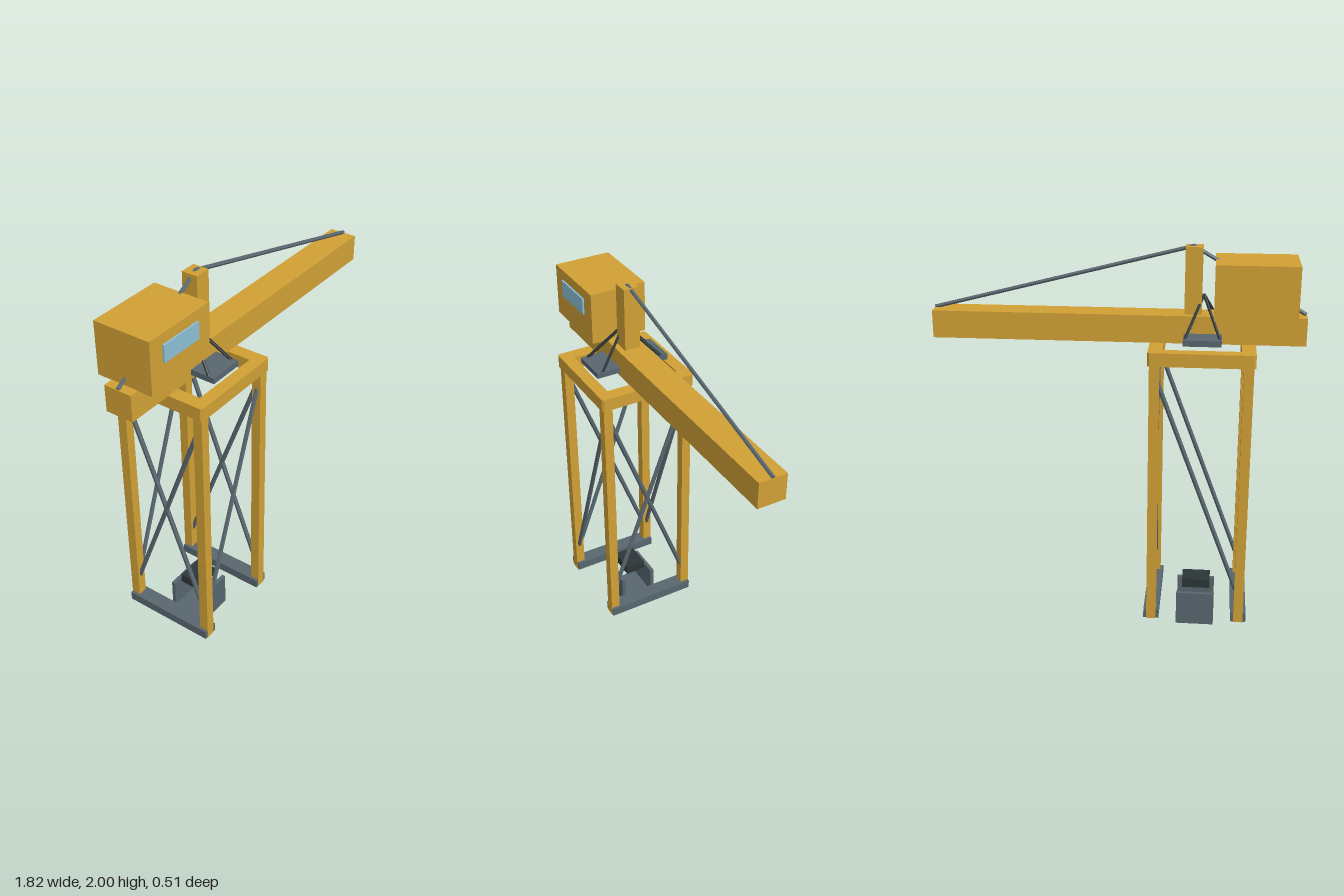
import * as THREE from 'three';

export function createModel() {
  const crane = new THREE.Group();
  crane.name = 'towerCrane';

  const paint = (name, color) => {
    const m = new THREE.MeshStandardMaterial({ color });
    m.name = name;
    return m;
  };
  const yellow = paint('ochre yellow', 0xd0a035);
  const steel = paint('slate steel', 0x58666e);
  const dark = paint('dark iron', 0x2c3536);
  const glass = paint('window blue', 0x8cbfd4);

  const add = (name, geometry, material) => {
    const mesh = new THREE.Mesh(geometry, material);
    mesh.name = name;
    crane.add(mesh);
    return mesh;
  };

  // Box given by its extents along each axis
  const box = (name, [x0, x1], [y0, y1], [z0, z1], material) =>
    add(name, new THREE.BoxGeometry(x1 - x0, y1 - y0, z1 - z0), material)
      .position.set((x0 + x1) / 2, (y0 + y1) / 2, (z0 + z1) / 2);

  // Straight six-sided rod between two points
  const rod = (name, from, to, radius, material) => {
    const a = new THREE.Vector3(...from);
    const b = new THREE.Vector3(...to);
    const dir = b.clone().sub(a);
    const geo = new THREE.CylinderGeometry(radius, radius, dir.length(), 6).toNonIndexed();
    geo.computeVertexNormals();
    const mesh = add(name, geo, material);
    mesh.position.copy(a).add(b).multiplyScalar(0.5);
    mesh.quaternion.setFromUnitVectors(new THREE.Vector3(0, 1, 0), dir.normalize());
  };

  const legX = [-0.637, -0.191];
  const legZ = 0.222;
  const midX = -0.414;

  // Tower: legs, foot beams and braces
  for (const x of legX) {
    for (const s of [-1, 1]) {
      box('leg', [x - 0.024, x + 0.024], [0.108, 1.48], [s * legZ - 0.024, s * legZ + 0.024], yellow);
      rod('sideBrace', [x, 0.28, s * 0.205], [x, 1.375, -s * 0.205], 0.012, steel);
    }
    box('footBeam', [x - 0.039, x + 0.039], [0.11, 0.157], [-0.244, 0.244], steel);
  }
  for (const s of [-1, 1]) {
    rod('diagonalBrace', [-0.62, 0.28, s * legZ], [-0.208, 1.375, s * legZ], 0.012, steel);
  }

  // Square top frame with clipped corners
  const w = 0.255, d = 0.255, c = 0.01;
  const outline = new THREE.Shape([
    [-w + c, -d], [w - c, -d], [w, -d + c], [w, d - c],
    [w - c, d], [-w + c, d], [-w, d - c], [-w, -d + c],
  ].map(([x, y]) => new THREE.Vector2(x, y)));
  const iw = 0.187, id = 0.193;
  outline.holes.push(new THREE.Path([
    [-iw, -id], [-iw, id], [iw, id], [iw, -id],
  ].map(([x, y]) => new THREE.Vector2(x, y))));
  const frameGeo = new THREE.ExtrudeGeometry(outline, { depth: 0.066, bevelEnabled: false });
  frameGeo.rotateX(-Math.PI / 2);
  add('topFrame', frameGeo, yellow).position.set(midX, 1.465, 0);

  // Boom, mast and cab
  box('boom', [-0.908, 0.906], [1.53, 1.665], [-0.072, 0.072], yellow);
  box('mast', [-0.405, -0.322], [1.66, 1.99], [-0.041, 0.041], yellow);
  box('cab', [-0.86, -0.465], [1.663, 1.928], [-0.148, 0.148], yellow);
  box('window', [-0.78, -0.545], [1.79, 1.876], [0.148, 0.157], glass);

  // Stay cables from the mast head to both boom ends
  rod('frontStay', [-0.365, 1.99, 0], [0.905, 1.668, 0], 0.01, steel);
  rod('rearStay', [-0.36, 1.99, 0], [-0.905, 1.668, 0], 0.01, steel);

  // Turning platform and its hangers
  box('platform', [-0.505, -0.322], [1.551, 1.58], [-0.198, 0.198], steel);
  for (const x of [-0.498, -0.33]) {
    for (const z of [-0.165, 0.165]) {
      rod('hanger', [x, 1.575, z], [midX, 1.755, 0], 0.008, dark);
    }
  }

  // Counterweight block above an open trough
  box('hookBlock', [-0.488, -0.343], [0.193, 0.24], [-0.056, 0.056], dark);
  box('troughFloor', [-0.512, -0.315], [0, 0.027], [-0.101, 0.101], steel);
  for (const s of [-1, 1]) {
    box('troughWall', [-0.512, -0.315], [0.027, 0.18], [s * 0.091 - 0.01, s * 0.091 + 0.01], steel);
  }

  return crane;
}
